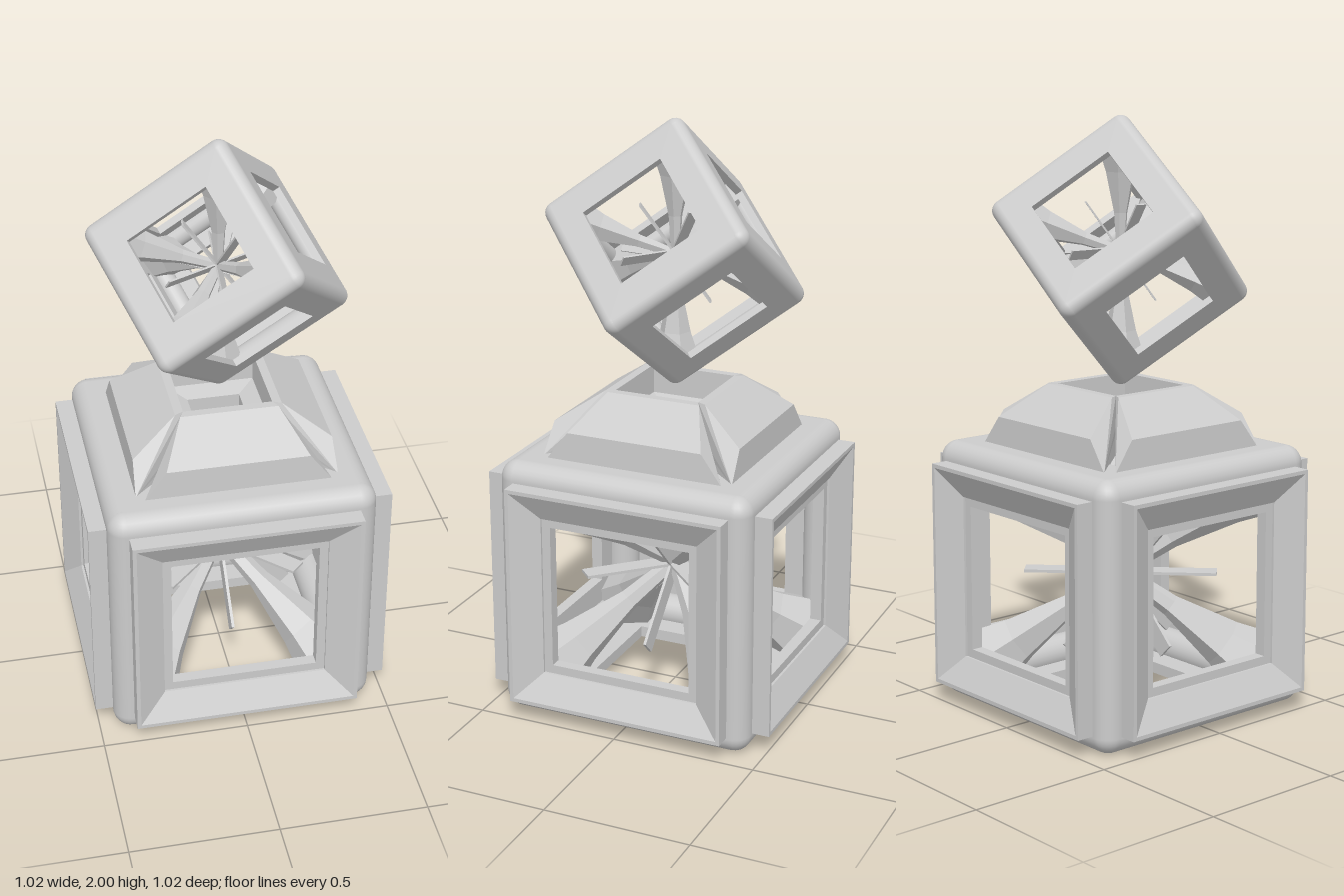
import * as THREE from 'three';

const HALF = 0.45, ROUND = 0.06, CORE = HALF - ROUND, HOLE = 0.25, WALL = 0.04;
const smooth = new THREE.MeshStandardMaterial({ color: 0xcccccc });
const flat = new THREE.MeshStandardMaterial({ color: 0xcccccc, flatShading: true });

function add(parent, name, geometry, material) {
  const mesh = new THREE.Mesh(geometry, material);
  mesh.name = name;
  parent.add(mesh);
  return mesh;
}

// Rail from a closed profile of [distance, height, halfLength], with mitred ends
function railGeometry(profile) {
  const pos = [], n = profile.length;
  const corner = (i, side) => {
    const [d, h, w] = profile[i % n];
    return [side * w, h, d];
  };
  for (let i = 0; i < n; i++) {
    const a = corner(i, -1), b = corner(i, 1), c = corner(i + 1, 1), d = corner(i + 1, -1);
    pos.push(...a, ...b, ...c, ...a, ...c, ...d);
  }
  for (let i = 1; i < n - 1; i++) {
    pos.push(...corner(0, 1), ...corner(i + 1, 1), ...corner(i, 1));
    pos.push(...corner(0, -1), ...corner(i, -1), ...corner(i + 1, -1));
  }
  const geo = new THREE.BufferGeometry();
  geo.setAttribute('position', new THREE.Float32BufferAttribute(pos, 3));
  geo.computeVertexNormals();
  return geo;
}

// Four rails around the local y axis
function railSquare(name, profile) {
  const group = new THREE.Group();
  group.name = name;
  const geo = railGeometry(profile);
  for (let k = 0; k < 4; k++) add(group, 'rail', geo, flat).rotation.y = k * Math.PI / 2;
  return group;
}

// Rounded hollow cube with a square window in every face
function addShell(cage) {
  const shape = new THREE.Shape();
  shape.moveTo(-CORE, -CORE).lineTo(CORE, -CORE).lineTo(CORE, CORE).lineTo(-CORE, CORE).closePath();
  const hole = new THREE.Path();
  hole.moveTo(-HOLE, -HOLE).lineTo(-HOLE, HOLE).lineTo(HOLE, HOLE).lineTo(HOLE, -HOLE).closePath();
  shape.holes.push(hole);
  const panel = new THREE.ExtrudeGeometry(shape, { depth: WALL, bevelEnabled: false });
  panel.translate(0, 0, HALF - WALL);
  for (let k = 0; k < 4; k++) add(cage, 'sidePanel', panel, smooth).rotation.y = k * Math.PI / 2;
  for (const s of [-1, 1]) add(cage, 'endPanel', panel, smooth).rotation.x = s * Math.PI / 2;

  const edge = new THREE.CylinderGeometry(ROUND, ROUND, 2 * CORE, 24, 1, true);
  const ball = new THREE.SphereGeometry(ROUND, 24, 16);
  for (const a of [-CORE, CORE]) for (const b of [-CORE, CORE]) {
    add(cage, 'uprightEdge', edge, smooth).position.set(a, 0, b);
    const across = add(cage, 'crossEdge', edge, smooth);
    across.rotation.z = Math.PI / 2;
    across.position.set(0, a, b);
    const deep = add(cage, 'depthEdge', edge, smooth);
    deep.rotation.x = Math.PI / 2;
    deep.position.set(a, b, 0);
    for (const c of [-CORE, CORE]) add(cage, 'corner', ball, smooth).position.set(a, b, c);
  }
}

// Flared struts to the corners and thin planks to the edge midpoints
function addCore(cage) {
  const profile = [[0, 0], [0.025, 0], [0.038, 0.21], [0.085, 0.433], [0.13, 0.57], [0, 0.62]];
  const strut = new THREE.LatheGeometry(profile.map(([r, y]) => new THREE.Vector2(r, y)), 6);
  const up = new THREE.Vector3(0, 1, 0);
  for (const x of [-1, 1]) for (const y of [-1, 1]) for (const z of [-1, 1])
    add(cage, 'cornerStrut', strut, flat).quaternion
      .setFromUnitVectors(up, new THREE.Vector3(x, y, z).normalize());

  const plank = new THREE.BoxGeometry(0.33, 0.01, 0.065).translate(0.165, 0, 0);
  for (const [rx, rz] of [[0, 0], [Math.PI / 2, 0], [0, Math.PI / 2]]) {
    const star = new THREE.Group();
    star.name = 'plankStar';
    star.rotation.set(rx, 0, rz);
    for (let k = 0; k < 4; k++) add(star, 'plank', plank, flat).rotation.y = (k + 0.5) * Math.PI / 2;
    cage.add(star);
  }
}

function makeCage(name) {
  const cage = new THREE.Group();
  cage.name = name;
  addShell(cage);
  addCore(cage);
  return cage;
}

export function createModel() {
  const model = new THREE.Group();
  model.name = 'stackedCages';

  const lower = makeCage('lowerCage');
  lower.position.y = HALF;
  model.add(lower);

  // Window surrounds sloping in towards the openings
  const surround = [[0.385, 0.44], [0.385, 0.51], [0.372, 0.51], [0.28, 0.458], [0.28, 0.44]]
    .map(([d, h]) => [d, h, d]);
  for (let k = 0; k < 4; k++) {
    const frame = railSquare('windowSurround', surround);
    frame.rotation.set(Math.PI / 2, k * Math.PI / 2, 0, 'YXZ');
    lower.add(frame);
  }

  // Tapered collar on top, notched at its corners
  lower.add(railSquare('collar', [
    [0.34, 0.445, 0.315], [0.335, 0.545, 0.24], [0.18, 0.65, 0.165], [0.15, 0.65, 0.15],
    [0.15, 0.55, 0.15], [0.09, 0.53, 0.09], [0.09, 0.445, 0.09],
  ]));

  // Smaller cage balanced on one corner
  const upper = makeCage('upperCage');
  const axes = [65.3, 185.3, 305.3].map((deg) => {
    const a = THREE.MathUtils.degToRad(deg), r = Math.sqrt(2 / 3);
    return new THREE.Vector3(r * Math.cos(a), -1 / Math.sqrt(3), r * Math.sin(a));
  });
  upper.quaternion.setFromRotationMatrix(new THREE.Matrix4().makeBasis(...axes));
  upper.scale.setScalar(0.611);
  upper.position.y = 1.55;
  model.add(upper);

  return model;
}
